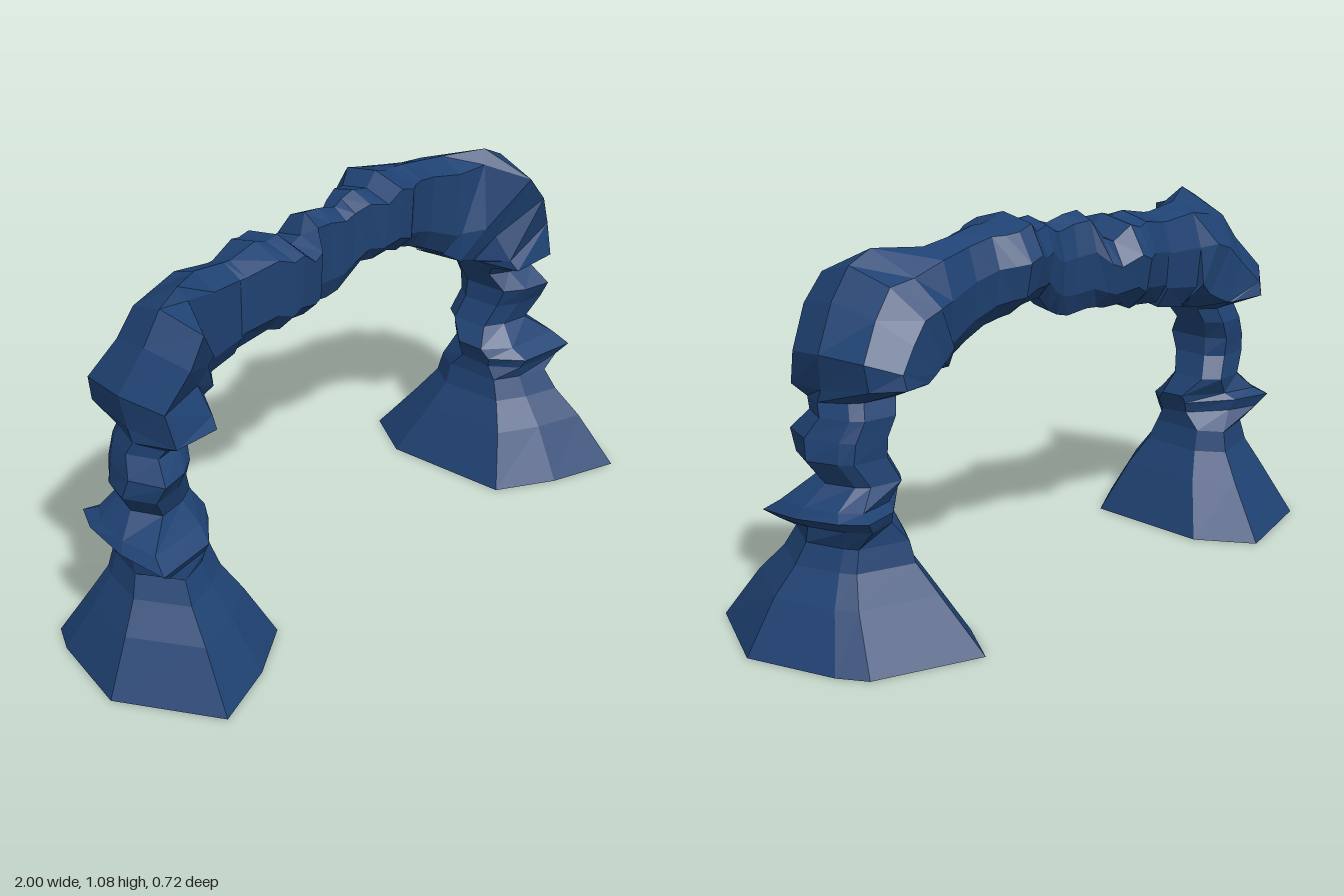
import * as THREE from 'three';

const stone = new THREE.MeshStandardMaterial({ color: 0x1f4273, side: THREE.DoubleSide });
stone.name = 'blue stone';
stone.flatShading = true;

// Eight-sided outlines: [0 inner .. 1 outer, 0 back .. 1 front]
const FOOT = [[1, .61], [.86, .25], [.77, .14], [.19, 0], [0, .22], [.03, .76], [.34, .9], [.72, 1]];
const FLARE = [[1, .6], [.92, .2], [.78, 0], [.38, .1], [0, .4], [.02, .7], [.3, .93], [.95, 1]];
const WAIST = [[1, .6], [.84, .2], [.7, .06], [.19, 0], [0, .22], [.03, .76], [.34, .92], [.8, 1]];
const BLOCK = [[1, .6], [.9, .18], [.6, 0], [.15, .08], [0, .3], [.02, .68], [.2, .98], [.88, 1]];
const CROWN = [[1, .6], [.86, .22], [.58, 0], [.15, .04], [0, .3], [.02, .6], [.35, .74], [.87, 1]];
const PEAK = [[1, .92], [.8, .3], [.56, 0], [.2, .05], [0, .3], [.04, .75], [.26, .97], [.87, 1]];
const BEAM = [[1, .6], [.92, .18], [.6, 0], [.22, .07], [0, .32], [.04, .75], [.26, .97], [.88, 1]];

// One ring between an inner and an outer point, z0 back to z1 front; tilt raises it along z
const ring = (shape, xi, yi, xo, yo, z0, z1, tilt = 0) => shape.map(([u, v]) => {
  const z = z0 + (z1 - z0) * v;
  return [xi + (xo - xi) * u, yi + (yo - yi) * u + tilt * z, z];
});

// Leg rings, ground upward: outline, inner x, outer x, y, back z, front z, tilt
const leg = [
  [FOOT, .47, 1, 0, -.36, .36],
  [FOOT, .545, .92, .15, -.24, .25],
  [FOOT, .59, .865, .23, -.18, .175],
  [FOOT, .605, .84, .29, -.165, .14],
  [FLARE, .605, .84, .335, -.18, .14, -.08],
  [FLARE, .595, .88, .366, -.2, .16, -.09],
  [FLARE, .585, .86, .392, -.16, .11, -.05],
  [WAIST, .62, .805, .45, -.145, .06],
  [WAIST, .65, .85, .515, -.13, .085],
  [WAIST, .655, .84, .57, -.135, .115],
  [WAIST, .63, .815, .625, -.14, .065],
  [WAIST, .615, .805, .66, -.125, .085, -.08],
].map(([s, a, b, y, z0, z1, t]) => ring(s, a, y, b, y, z0, z1, t));

// Shoulder rings, turning from upright to level
const shoulder = [
  ring(BLOCK, .585, .685, .805, .695, -.24, .135, -.11),
  ring(BLOCK, .57, .685, .82, .79, -.23, .11, -.04),
  ring(CROWN, .545, .69, .75, .91, -.21, .14),
  ring(CROWN, .51, .7, .69, .995, -.2, .132),
  ring(PEAK, .475, .715, .62, 1.03, -.2, .01),
];

// Beam rings from -x to +x: x, bottom, top, back z, front z
const beam = [
  [-.5, .7, 1.01, -.18, 0], [-.39, .72, .995, -.165, -.015],
  [-.37, .735, .995, -.165, -.01], [-.27, .75, 1.015, -.205, .01],
  [-.235, .745, 1.005, -.22, .035], [-.2, .765, 1.015, -.215, .04],
  [-.15, .76, .97, -.19, .03], [-.115, .765, .985, -.18, .025],
  [-.085, .765, 1.04, -.145, -.02], [-.03, .755, 1.035, -.13, -.025],
  [.03, .765, 1.02, -.13, -.02], [.065, .785, 1.03, -.15, -.02],
  [.1, .83, 1.05, -.16, .005], [.15, .83, 1.04, -.18, .03],
  [.2, .83, 1.075, -.215, .035], [.25, .815, 1.06, -.22, .035],
  [.29, .81, 1.055, -.2, .01], [.32, .795, 1.055, -.175, 0],
  [.4, .765, 1.04, -.165, -.015], [.5, .71, 1.025, -.18, 0],
].map(([x, b, t, z0, z1], i) => ring(BEAM, x + .01 * Math.sin(i * 2.3), b, x, t, z0, z1));

const mirror = rings => rings.map(r => r.map(([x, y, z]) => [-x, y, z]));
const reverse = rings => [...rings].reverse();

// Joins consecutive rings with faceted quads
function loft(name, rings) {
  const pos = [];
  for (let i = 0; i + 1 < rings.length; i++) {
    for (let k = 0; k < 8; k++) {
      const n = (k + 1) % 8;
      const a = rings[i][k], b = rings[i][n], c = rings[i + 1][k], d = rings[i + 1][n];
      pos.push(...a, ...c, ...b, ...b, ...c, ...d);
    }
  }
  const geo = new THREE.BufferGeometry();
  geo.setAttribute('position', new THREE.Float32BufferAttribute(pos, 3));
  geo.computeVertexNormals();
  const mesh = new THREE.Mesh(geo, stone);
  mesh.name = name;
  return mesh;
}

export function createModel() {
  const group = new THREE.Group();
  group.name = 'rockArch';
  const corner = [leg[leg.length - 1], ...shoulder];
  const end = shoulder[shoulder.length - 1];
  group.add(
    loft('rightLeg', mirror(leg)),
    loft('rightShoulder', mirror(corner)),
    loft('archBeam', [...mirror([end]), ...beam, end]),
    loft('leftShoulder', reverse(corner)),
    loft('leftLeg', reverse(leg)),
  );
  return group;
}
